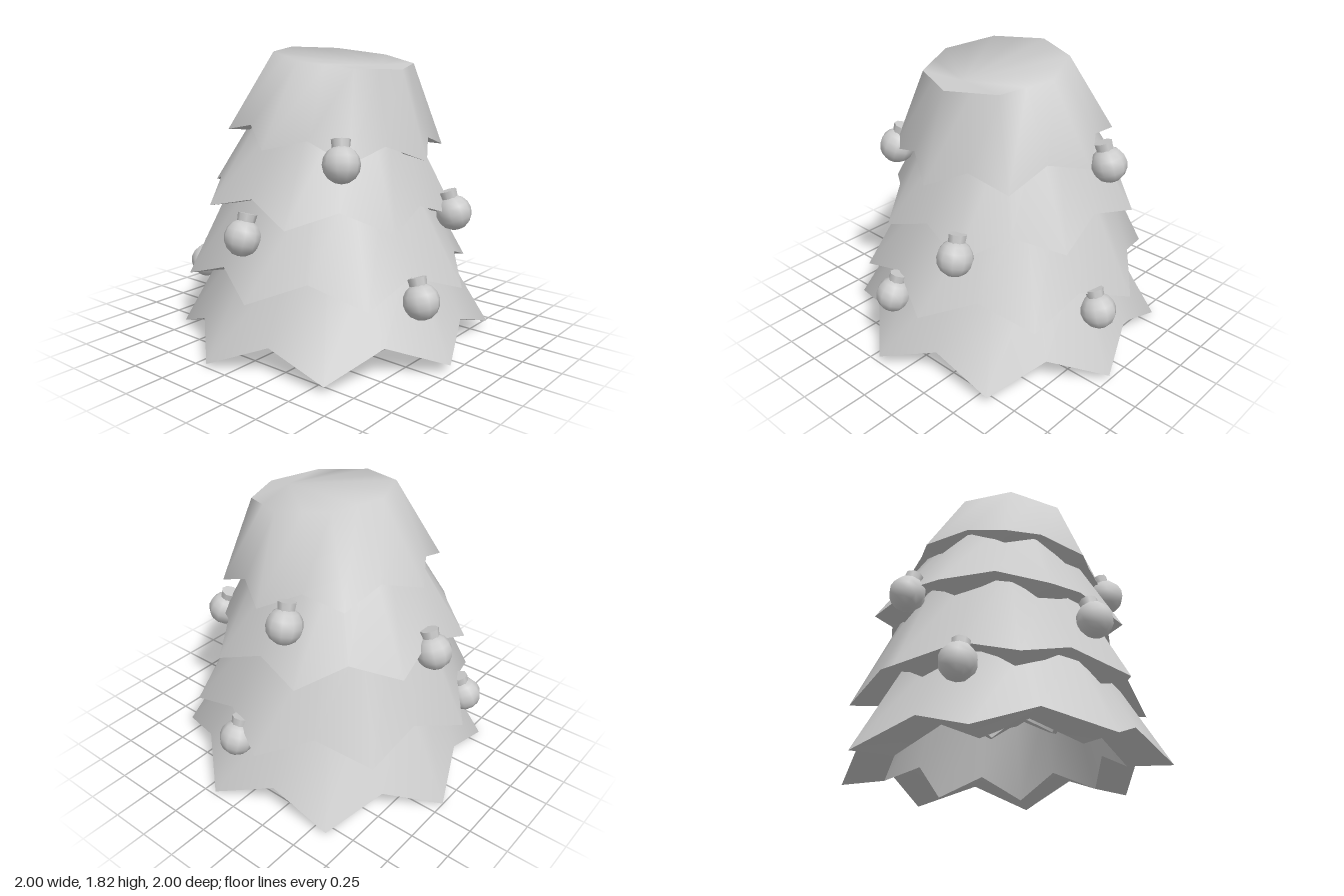
import * as THREE from 'three';

const N = 16; // eight tips and eight notches around each skirt

// Ring of points; odd points may differ in radius and height, and the ring may lean along x
function ring({ cx = 0, r, rOdd = r, y, yOdd = y, lean = 0, turn = 0 }) {
  return Array.from({ length: N }, (_, i) => {
    const a = THREE.MathUtils.degToRad(turn) + (i / N) * Math.PI * 2;
    const radius = i % 2 ? rOdd : r;
    const x = cx + radius * Math.cos(a);
    return [x, (i % 2 ? yOdd : y) + lean * x, radius * Math.sin(a)];
  });
}

// Smooth closed band through successive rings
function band(...rings) {
  const index = [];
  for (let k = 0; k < rings.length - 1; k++) {
    for (let i = 0; i < N; i++) {
      const a = k * N + i, b = k * N + (i + 1) % N;
      index.push(a, a + N, b, a + N, b + N, b);
    }
  }
  const g = new THREE.BufferGeometry();
  g.setAttribute('position', new THREE.Float32BufferAttribute(rings.flat(2), 3));
  g.setIndex(index);
  g.computeVertexNormals();
  return g;
}

// Soften the rim between side and cap, except at its +x end
function softenRim(side, cap) {
  const s = side.attributes.normal, c = cap.attributes.normal;
  const v = new THREE.Vector3(), w = new THREE.Vector3();
  for (let i = 3; i <= 13; i++) {
    v.fromBufferAttribute(s, N + i).add(w.fromBufferAttribute(c, i)).normalize();
    s.setXYZ(N + i, v.x, v.y, v.z);
    c.setXYZ(i, v.x, v.y, v.z);
  }
}

export function createModel() {
  const group = new THREE.Group();
  const material = new THREE.MeshStandardMaterial({ color: 0xcccccc, side: THREE.DoubleSide });
  const add = (geometry, name, parent) => {
    const mesh = new THREE.Mesh(geometry, material);
    mesh.name = name;
    parent.add(mesh);
  };

  // Skirts from the ground up: jagged hem, then narrower octagonal top
  const tiers = [
    { turn: 9, cx: 0, r: 1.01, y: 0.03, notch: 0.14, lean: 0.025, inner: 0.73, topX: 0, topR: 0.67, topY: 0.62, topLean: 0 },
    { turn: -7, cx: -0.02, r: 0.925, y: 0.43, notch: 0.12, lean: 0, inner: 0.6, topX: -0.03, topR: 0.58, topY: 1.08, topLean: -0.08 },
    { turn: 24, cx: -0.03, r: 0.815, y: 0.88, notch: 0.1, lean: -0.08, inner: 0.6, topX: 0.01, topR: 0.45, topY: 1.5, topLean: -0.12 },
    { turn: 0, cx: 0.02, r: 0.68, y: 1.28, notch: 0.085, lean: -0.12, inner: 0.6, topX: 0.08, topR: 0.435, topY: 1.785, topLean: -0.125 },
  ];
  tiers.forEach((t, n) => {
    const tier = new THREE.Group();
    tier.name = `branchTier${n + 1}`;
    group.add(tier);

    const hem = (scale, lift = 0) => ring({
      cx: t.cx, r: t.r * scale, rOdd: t.r * scale * 0.86,
      y: t.y + lift, yOdd: t.y + t.notch + lift, lean: t.lean, turn: t.turn,
    });
    const top = (scale, drop = 0, shift = 0) => ring({
      cx: t.topX + shift, r: t.topR * scale, rOdd: t.topR * scale * 0.924,
      y: t.topY - drop, lean: t.topLean, turn: t.turn,
    });

    const side = band(hem(1), top(1));
    add(side, 'skirt', tier);
    add(band(hem(t.inner, 0.01), hem(1)), 'hemUnderside', tier);
    add(band(top(0.86, 0.04), hem(t.inner, 0.01)), 'innerWall', tier);

    // Only the uppermost skirt is closed, with a slanted cap
    if (n === tiers.length - 1) {
      const cap = band(top(1), top(0, 0, 0.28));
      softenRim(side, cap);
      add(cap, 'slantedCap', tier);
    }
  });

  // Baubles with short stems leaning in toward the tree
  const ball = new THREE.SphereGeometry(0.11, 10, 8);
  const stem = new THREE.CylinderGeometry(0.057, 0.05, 0.07, 8);
  stem.translate(0, 0.107, 0);
  const spots = [
    [-0.04, 0.775, 0.79], [0.46, 1.222, 0.5], [-0.755, 0.41, 0.43], [0.815, 0.415, 0.2],
    [0.73, 0.84, -0.275], [-0.77, 0.98, -0.02], [-0.18, 1.235, -0.665], [0.09, 0.41, -0.84],
  ];
  for (const [x, y, z] of spots) {
    const bauble = new THREE.Group();
    bauble.name = 'bauble';
    bauble.position.set(x, y, z);
    bauble.rotation.set(-0.32, Math.atan2(x, z), 0, 'YXZ');
    add(ball, 'baubleBall', bauble);
    add(stem, 'baubleStem', bauble);
    group.add(bauble);
  }
  return group;
}
